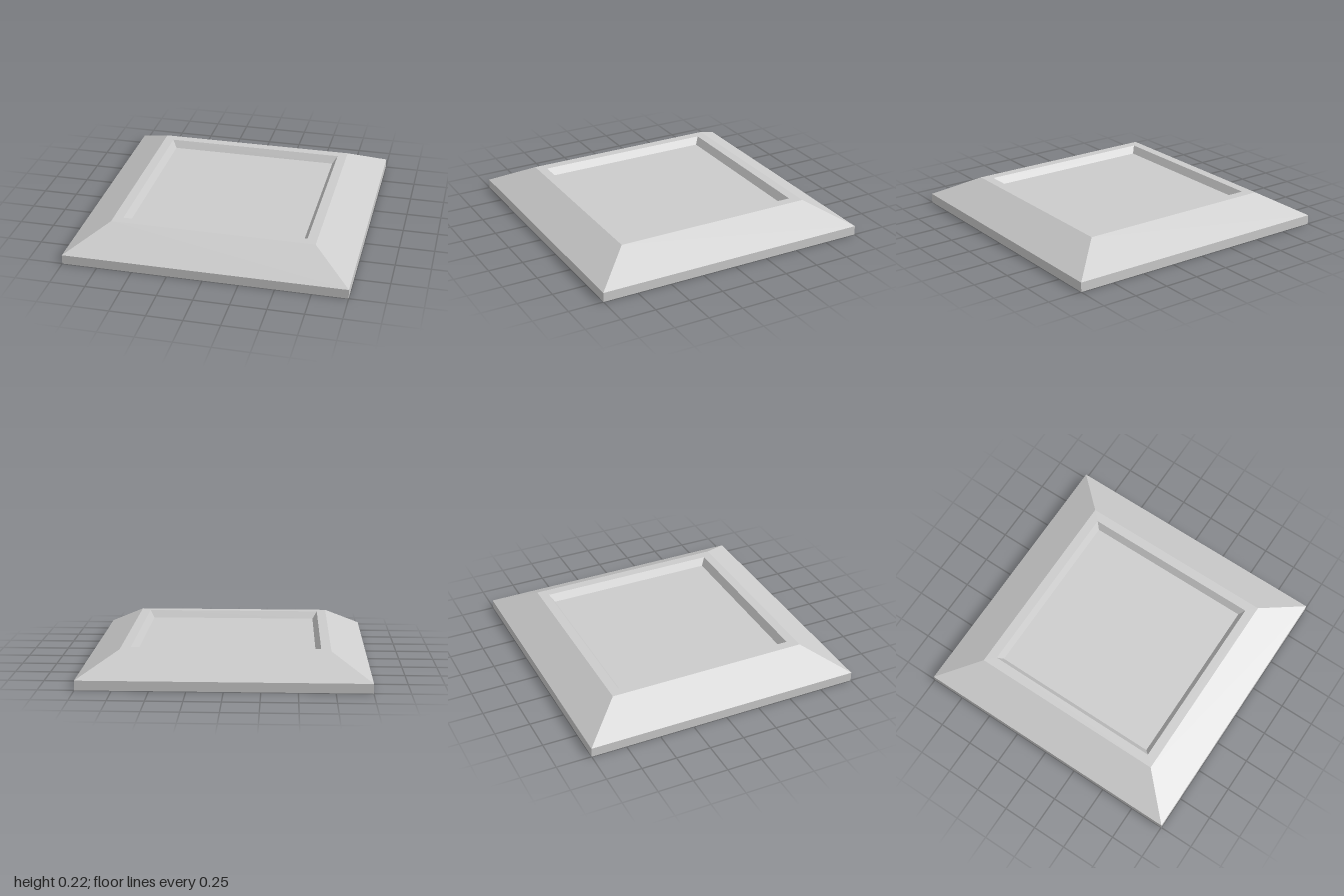
import * as THREE from 'three';

const material = new THREE.MeshStandardMaterial({
  color: 0xcccccc, flatShading: true, side: THREE.DoubleSide,
});

// Square shell swept around y from a profile of [half width, height] pairs
function squareShell(name, profile) {
  const points = profile.map(([half, y]) => new THREE.Vector2(half * Math.SQRT2, y));
  const geometry = new THREE.LatheGeometry(points, 4, Math.PI / 4).toNonIndexed();
  geometry.computeVertexNormals();
  const mesh = new THREE.Mesh(geometry, material);
  mesh.name = name;
  return mesh;
}

export function createModel() {
  const group = new THREE.Group();
  group.name = 'squarePlinth';

  const panelHalf = 0.623, panelTop = 0.17, panelBottom = 0.113;

  // Thin hollow frame, open underneath: edge, slope, flat rim, recess wall
  group.add(squareShell('frame', [
    [1, 0],
    [1, 0.067],
    [0.725, 0.222],
    [0.657, 0.222],
    [panelHalf, panelTop],
  ]));

  // Solid panel forming the floor of the recess
  const panel = new THREE.Mesh(
    new THREE.BoxGeometry(panelHalf * 2, panelTop - panelBottom, panelHalf * 2), material);
  panel.position.y = (panelTop + panelBottom) / 2;
  panel.name = 'recessedPanel';
  group.add(panel);

  return group;
}
